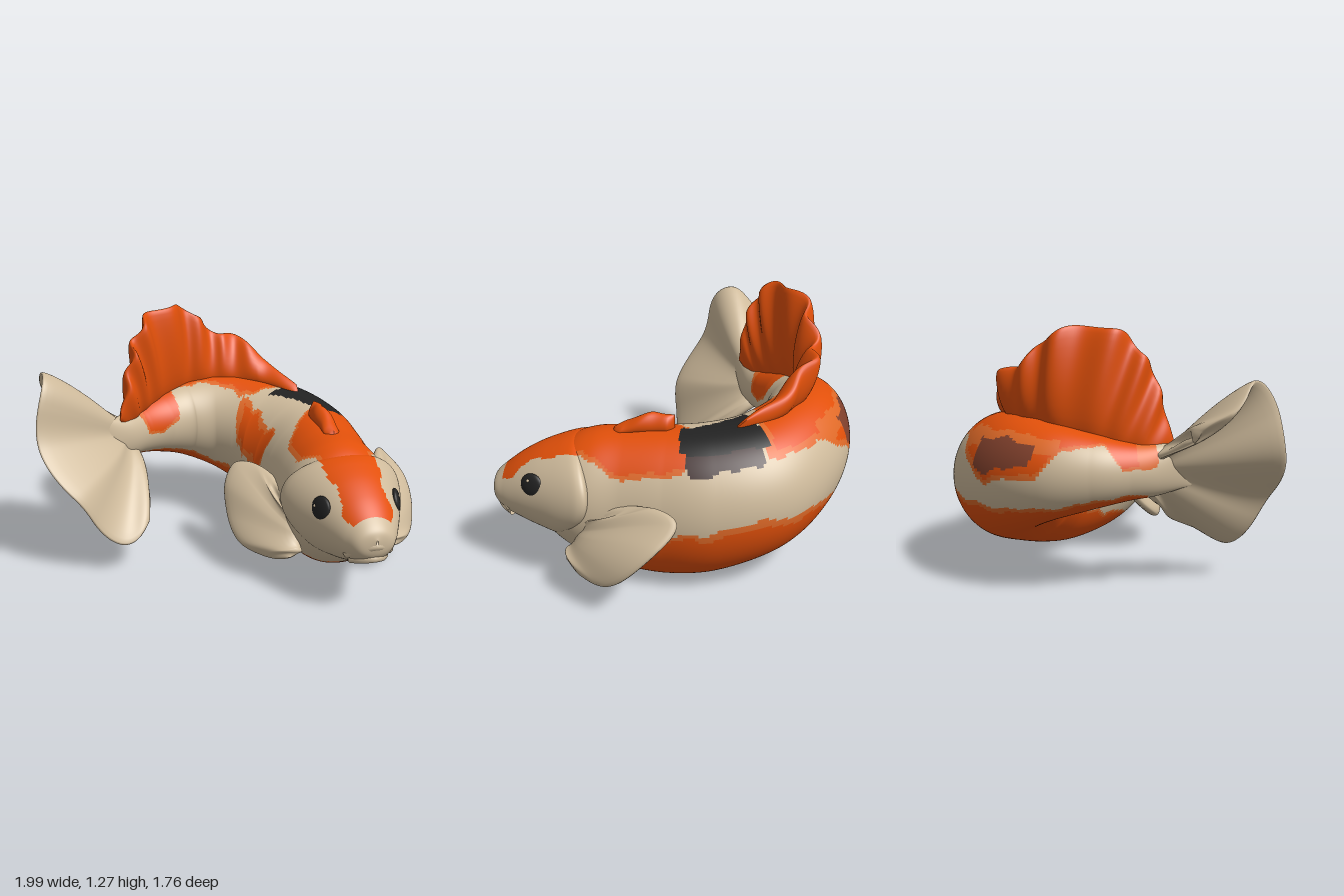
import * as THREE from 'three';

const mat = (name, color) => {
  const m = new THREE.MeshStandardMaterial({ color, side: THREE.DoubleSide });
  m.name = name;
  return m;
};
const V = (p) => new THREE.Vector3(...p);
const spline = (pts) => new THREE.CatmullRomCurve3(pts.map(V), false, 'catmullrom', 0.5);

// Linear lookup in a short ascending table of [key, value]
function table(x, rows) {
  if (x <= rows[0][0]) return rows[0][1];
  for (let i = 1; i < rows.length; i++) {
    const [x0, y0] = rows[i - 1], [x1, y1] = rows[i];
    if (x <= x1) return y0 + (y1 - y0) * (x - x0) / (x1 - x0);
  }
  return rows[rows.length - 1][1];
}

// Closed loops point(u, a) joined into a skin; colorOf picks a material index per face
function loft(point, nu, na, colorOf = () => 0) {
  const pos = [], lists = [];
  for (let i = 0; i <= nu; i++) {
    for (let j = 0; j < na; j++) pos.push(...point(i / nu, (j / na) * Math.PI * 2).toArray());
  }
  for (let i = 0; i < nu; i++) {
    for (let j = 0; j < na; j++) {
      const k = (j + 1) % na, a = i * na + j, b = i * na + k, c = a + na, d = b + na;
      const u = (i + 0.5) / nu, ang = ((j + 0.5) / na) * Math.PI * 2;
      const m = colorOf(u, ang, point(u, ang));
      (lists[m] ??= []).push(a, b, c, b, d, c);
    }
  }
  const g = new THREE.BufferGeometry();
  g.setAttribute('position', new THREE.Float32BufferAttribute(pos, 3));
  const index = [];
  lists.forEach((l, m) => {
    g.addGroup(index.length, l.length, m);
    for (const n of l) index.push(n);
  });
  g.setIndex(index);
  g.computeVertexNormals();
  return g;
}

// Stations [x, z, half width, bottom, top] to an elliptical sweep
function sweep(stations) {
  const centre = spline(stations.map(([x, z, , b, t]) => [x, (b + t) / 2, z]));
  const size = spline(stations.map(([, , w, b, t]) => [w, (t - b) / 2, 0]));
  return (u, a) => {
    const c = centre.getPoint(u), s = size.getPoint(u);
    const t = centre.getTangent(u).setY(0).normalize();
    const w = Math.max(s.x, 0) * Math.sin(a);
    return new THREE.Vector3(c.x - t.z * w, c.y + s.y * Math.cos(a), c.z + t.x * w);
  };
}

// Fleshy fin stretched from a root line to a tip line, with rays and a scalloped rim
function fin(root, tip, { thick, waves, ripple, scallop, nu }) {
  const R = spline(root), T = spline(tip);
  return loft((u, a) => {
    const r = (1 - Math.cos(a)) / 2;
    const p0 = R.getPoint(u), p1 = T.getPoint(u);
    const along = R.getTangent(u).lerp(T.getTangent(u), Math.max(r, 0.3));
    const n = p1.clone().sub(p0).cross(along).normalize();
    const bow = Math.max(0, Math.sin(Math.PI * u)), ends = Math.min(1, Math.sqrt(bow) * 1.6);
    const fold = Math.min(1, bow * 1.5), phase = 2 * Math.PI * waves * u;
    const p = p0.lerp(p1, r * (1 + scallop * (Math.cos(phase) - 1) * fold));
    const off = ripple * r * Math.sin(phase) * fold + thick * Math.sin(a) * ends * (1.25 - 0.4 * r);
    return p.addScaledVector(n, off);
  }, nu, 28);
}

const wobble = (s, t) => Math.sin(s * 5.3 + t * 9) * 0.55 + Math.sin(s * 10.7 - t * 17 + 1) * 0.35 + Math.sin(s * 19 + t * 25) * 0.1;

// Orange saddle over the head and shoulders: positive inside
function saddle(p) {
  if (p.y < 0.45 || p.z > 0.81 || p.z < -0.1) return -1;
  const L = table(p.z, [[-0.1, 0.48], [-0.05, 0.42], [0.05, 0.34], [0.15, 0.265], [0.3, 0.27], [0.4, 0.33], [0.5, 0.34], [0.65, 0.36], [0.74, 0.345], [0.81, 0.38]]);
  const R = table(p.z, [[-0.1, 0.72], [0.2, 0.74], [0.28, 0.72], [0.34, 0.66], [0.42, 0.63], [0.55, 0.61], [0.65, 0.58], [0.74, 0.605], [0.81, 0.57]]);
  const low = p.x > 0.475 && p.z < 0.4 ? p.y - table(p.z, [[-0.1, 0.65], [-0.02, 0.59], [0.06, 0.63], [0.18, 0.59], [0.25, 0.6], [0.32, 0.66]]) : 1;
  return Math.min(p.x - L, R - p.x, low) + 0.01 * wobble(p.z * 5, p.y);
}

// Material order: 0 cream, 1 orange, 2 pale orange, 3 maroon, 4 black, 5 dark brown
function bodyColor(u, a, p) {
  const s = u * 14, v = (a > Math.PI ? a - 2 * Math.PI : a) / Math.PI;
  const n = wobble(s, v), box = (s0, s1, v0, v1, rough = 0.02) =>
    Math.min((s - s0) * 0.25, (s1 - s) * 0.25, v - v0, v1 - v) + n * rough;
  if (box(5.3, 6.95, table(s, [[5.3, 0], [6.2, -0.04], [7, -0.12]]), 0.18, 0.012) > 0) return 4;
  if (box(5.5, 6.75, 0.1, 0.27, 0.025) > 0) return 5;
  if (box(8.65, 9.95, 0.26, 0.44, 0.035) > 0) return 3;
  const hi = table(s, [[6.9, 0.23], [7.5, 0.27], [8, 0.28], [8.4, 0.4], [9, 0.51], [10, 0.5], [10.4, 0.28], [11.3, 0.2], [11.8, 0.45], [13, 0.42]]);
  const lo = table(s, [[6.9, 0], [7.5, -0.15], [8, -0.2], [9, -0.15], [10.6, -0.1], [10.8, -0.42], [11.5, -0.52], [12.3, -0.5], [12.5, -0.1]]);
  const back = s < 5.7 ? saddle(p) : box(6.9, 12.9, lo, hi);
  const outer = table(s, [[1.5, 1], [2.4, 0.88], [3, 0.79], [4, 0.65], [5, 0.55], [6, 0.5], [7, 0.51], [8, 0.58], [9, 0.65], [10, 0.72], [12, 0.74], [13, 0.85]]);
  const inner = table(s, [[1.5, 1], [2.4, 0.88], [3, 0.8], [4, 0.7], [6, 0.6], [8, 0.64], [9, 0.74], [11, 0.78], [13, 0.85]]);
  const under = s > 12.6 ? -1 : Math.abs(v) - (v > 0 ? outer : inner) + n * 0.018;
  const patch = box(5.35, 7.75, -0.47, table(s, [[5.4, -0.27], [7.6, -0.2]]), 0.03);
  const m = Math.max(back, under, patch);
  if (m <= 0) return 0;
  const band = box(8, 10.3, 0.2, 0.33) > 0 || box(12.2, 13, -0.5, 0.5) > 0;
  return m < (s < 5.7 ? 0.018 : 0.032) || band ? 2 : 1;
}

export function createModel() {
  const fish = new THREE.Group();
  fish.name = 'curledFish';
  const cream = mat('cream', 0xcfbb9c), orange = mat('orange', 0xe2500a), pale = mat('paleOrange', 0xe06a28);
  const maroon = mat('maroon', 0x80402c), black = mat('black', 0x222222), brown = mat('darkBrown', 0x43302f);
  const skin = [cream, orange, pale, maroon, black, brown];
  const add = (name, geo, m, parent = fish) => {
    const mesh = new THREE.Mesh(geo, m);
    mesh.name = name;
    parent.add(mesh);
    return mesh;
  };

  // Curled body
  const body = sweep([
    [0.475, 0.68, 0.03, 0.3, 0.42], [0.475, 0.58, 0.17, 0.2, 0.58], [0.475, 0.48, 0.25, 0.13, 0.685],
    [0.475, 0.36, 0.28, 0.065, 0.735], [0.475, 0.2, 0.285, 0.02, 0.75], [0.485, 0, 0.3, 0.003, 0.765],
    [0.475, -0.2, 0.32, 0.03, 0.78], [0.4, -0.41, 0.325, 0.1, 0.8], [0.25, -0.56, 0.285, 0.18, 0.825],
    [0.07, -0.64, 0.245, 0.27, 0.835], [-0.13, -0.635, 0.21, 0.36, 0.815], [-0.3, -0.55, 0.165, 0.425, 0.775],
    [-0.42, -0.45, 0.115, 0.465, 0.74], [-0.51, -0.35, 0.075, 0.485, 0.73], [-0.62, -0.24, 0.004, 0.53, 0.73],
  ]);
  add('body', loft(body, 280, 140, bodyColor), skin);

  // Head, its rear rim curved into gill covers
  const headSweep = sweep([
    [0.475, 0.875, 0.005, 0.405, 0.44], [0.475, 0.855, 0.085, 0.345, 0.485], [0.475, 0.8, 0.13, 0.29, 0.535],
    [0.475, 0.72, 0.175, 0.255, 0.595], [0.475, 0.62, 0.225, 0.22, 0.65], [0.475, 0.52, 0.272, 0.2, 0.685],
    [0.475, 0.44, 0.302, 0.215, 0.7], [0.475, 0.385, 0.314, 0.24, 0.7], [0.475, 0.35, 0.3, 0.27, 0.69],
    [0.475, 0.345, 0.25, 0.31, 0.65],
  ]);
  const head = (u, a) => {
    const p = headSweep(u, a), k = THREE.MathUtils.smoothstep(u, 0.45, 1);
    p.z += k * 0.12 * Math.pow((p.y - 0.5) / 0.23, 2);
    return p;
  };
  add('head', loft(head, 100, 110, (u, a, p) => (saddle(p) > 0 ? 1 : 0)), skin);

  // Lips
  const lip = (name, pts, r) => add(name, new THREE.TubeGeometry(spline(pts), 30, r, 10), cream);
  lip('upperLip', [[0.37, 0.335, 0.765], [0.41, 0.38, 0.822], [0.475, 0.405, 0.852], [0.54, 0.38, 0.822], [0.58, 0.335, 0.765]], 0.026);
  lip('lowerLip', [[0.39, 0.305, 0.765], [0.425, 0.322, 0.815], [0.475, 0.333, 0.84], [0.525, 0.322, 0.815], [0.56, 0.305, 0.765]], 0.022);

  // Eyes and paired side fins
  const xAxis = new THREE.Vector3(1, 0, 0);
  for (const s of [1, -1]) {
    const side = s > 0 ? 'left' : 'right', flip = ([x, y, z]) => [0.475 + s * (x - 0.475), y, z];
    const eye = new THREE.Group();
    eye.name = side + 'Eye';
    eye.position.set(0.475 + s * 0.193, 0.518, 0.63);
    eye.quaternion.setFromUnitVectors(xAxis, new THREE.Vector3(s, 0.22, 0.42).normalize());
    fish.add(eye);
    add('eyeball', new THREE.SphereGeometry(1, 24, 16), black, eye).scale.set(0.021, 0.058, 0.064);
    add('glint', new THREE.SphereGeometry(0.008, 8, 6), cream, eye).position.set(0.017, 0.024, 0.012);

    add(side + 'PectoralFin', fin(
      [[0.7, 0.37, 0.37], [0.71, 0.28, 0.41], [0.69, 0.2, 0.45]].map(flip),
      [[0.75, 0.41, 0.31], [0.77, 0.48, 0.17], [0.81, 0.52, 0.02], [0.9, 0.495, -0.09], [0.985, 0.4, -0.03],
        [0.995, 0.27, 0.1], [0.955, 0.17, 0.24], [0.86, 0.155, 0.37], [0.76, 0.18, 0.46]].map(flip),
      { thick: 0.05, waves: 3, ripple: 0.008, scallop: 0.012, nu: 90 }), cream);
  }

  // Tall ruffled back fin following the curl
  add('dorsalFin', fin(
    [[0.48, 0.76, -0.3], [0.35, 0.78, -0.47], [0.22, 0.78, -0.56], [0.1, 0.78, -0.61], [-0.02, 0.78, -0.62], [-0.13, 0.76, -0.61],
      [-0.25, 0.74, -0.55], [-0.33, 0.71, -0.5], [-0.4, 0.69, -0.45], [-0.46, 0.67, -0.4], [-0.5, 0.65, -0.35]],
    [[0.48, 0.82, -0.36], [0.35, 0.92, -0.55], [0.22, 1.05, -0.66], [0.09, 1.07, -0.68], [-0.03, 1.18, -0.65], [-0.16, 1.265, -0.59],
      [-0.34, 1.26, -0.45], [-0.42, 1.16, -0.37], [-0.465, 1.04, -0.315], [-0.49, 0.89, -0.285], [-0.54, 0.73, -0.27]],
    { thick: 0.046, waves: 8, ripple: 0.024, scallop: 0.012, nu: 180 }), orange);

  // Small ridge behind the head
  add('shoulderRidge', fin(
    [[0.475, 0.72, 0.28], [0.47, 0.73, 0.13], [0.465, 0.74, -0.03]],
    [[0.475, 0.76, 0.26], [0.47, 0.835, 0.1], [0.465, 0.83, -0.03]],
    { thick: 0.04, waves: 2, ripple: 0.006, scallop: 0.02, nu: 50 }), orange);

  // Fanned, folded tail with an upper and a lower lobe
  add('tailFin', fin(
    [[-0.48, 0.68, -0.38], [-0.51, 0.64, -0.35], [-0.5, 0.58, -0.35], [-0.44, 0.51, -0.4]],
    [[-0.7, 0.76, -0.37], [-0.82, 0.83, -0.4], [-0.92, 0.94, -0.36], [-0.95, 1.03, -0.2], [-1, 0.92, -0.06], [-0.97, 0.7, 0.02],
      [-0.88, 0.47, 0.1], [-0.76, 0.33, 0.15], [-0.58, 0.18, 0.11], [-0.45, 0.22, 0], [-0.41, 0.34, -0.14], [-0.42, 0.42, -0.27]],
    { thick: 0.042, waves: 4, ripple: 0.035, scallop: 0.025, nu: 160 }), cream);

  return fish;
}
